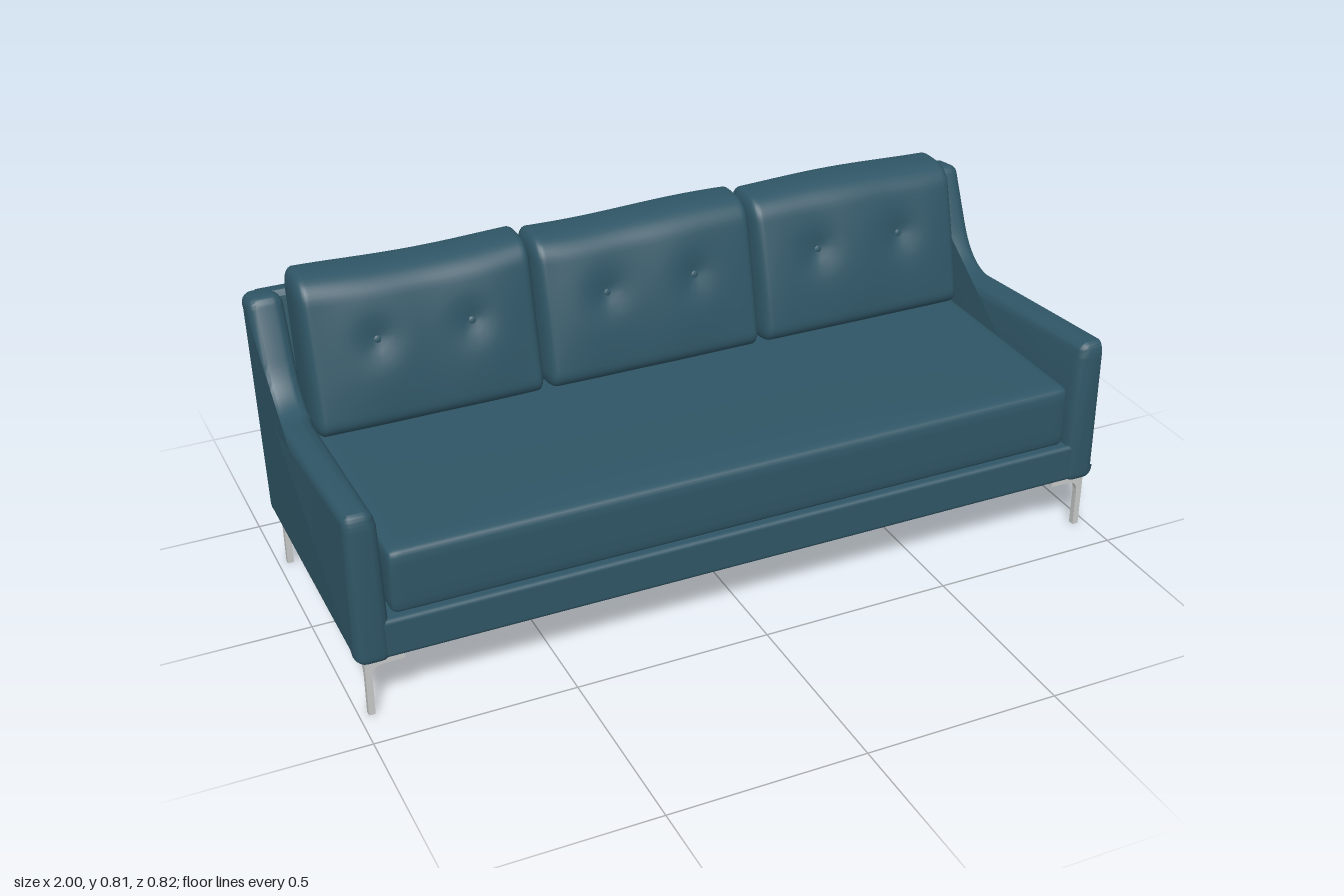
import * as THREE from 'three';
import { toCreasedNormals, mergeVertices } from 'three/addons/utils/BufferGeometryUtils.js';
import { RoundedBoxGeometry } from 'three/addons/geometries/RoundedBoxGeometry.js';

const fabric = new THREE.MeshStandardMaterial({ color: 0x2f5565 });
fabric.name = 'teal fabric';
const metal = new THREE.MeshStandardMaterial({ color: 0xc6c8c8 });
metal.name = 'brushed metal';

function addMesh(parent, name, geometry, material = fabric) {
  const mesh = new THREE.Mesh(geometry, material);
  mesh.name = name;
  parent.add(mesh);
  return mesh;
}

// Extrudes a side profile (drawn as -z, y) across x, centred on x = 0
function sideExtrude(shape, width, bevel) {
  const g = new THREE.ExtrudeGeometry(shape, {
    depth: width - 2 * bevel, curveSegments: 12, bevelEnabled: bevel > 0,
    bevelSize: bevel, bevelThickness: bevel, bevelOffset: -bevel, bevelSegments: 5,
  });
  g.translate(0, 0, -(width - 2 * bevel) / 2);
  return g.rotateY(Math.PI / 2);
}

// Box with elliptical edges, then reshaped by a rule applied to every vertex
function softBox(size, radius, segments, rule) {
  const g = new THREE.BoxGeometry(2, 2, 2, ...segments);
  g.deleteAttribute('uv');
  g.deleteAttribute('normal');
  const pos = g.attributes.position;
  const p = new THREE.Vector3(), inner = new THREE.Vector3();
  const half = size.clone().multiplyScalar(0.5);
  const limit = half.clone().sub(radius);
  for (let i = 0; i < pos.count; i++) {
    p.fromBufferAttribute(pos, i);
    // Crowd the grid lines toward the edges
    p.set(...p.toArray().map((t) => Math.sin(t * Math.PI / 2))).multiply(half);
    inner.copy(p).clamp(limit.clone().negate(), limit);
    p.sub(inner).divide(radius);
    if (p.lengthSq() > 0) p.normalize();
    p.multiply(radius).add(inner);
    rule(p);
    pos.setXYZ(i, p.x, p.y, p.z);
  }
  const merged = mergeVertices(g, 1e-5);
  merged.computeVertexNormals();
  return merged;
}

// Arm with a wing sweeping up to the back
function armGeometry(side) {
  const s = new THREE.Shape();
  s.moveTo(-0.405, 0.15);
  s.quadraticCurveTo(-0.411, 0.152, -0.411, 0.17);
  s.lineTo(-0.409, 0.505);
  s.quadraticCurveTo(-0.405, 0.547, -0.385, 0.545);
  s.lineTo(0.12, 0.501);
  s.bezierCurveTo(0.2, 0.495, 0.24, 0.55, 0.265, 0.605);
  s.lineTo(0.318, 0.72);
  s.quadraticCurveTo(0.328, 0.744, 0.345, 0.744);
  s.lineTo(0.39, 0.738);
  s.quadraticCurveTo(0.413, 0.735, 0.411, 0.715);
  s.lineTo(0.333, 0.165);
  s.quadraticCurveTo(0.331, 0.15, 0.318, 0.15);
  s.closePath();
  const g = sideExtrude(s, 0.09, 0.028);
  const pos = g.attributes.position;
  for (let i = 0; i < pos.count; i++) {
    let x = pos.getX(i) * side;
    const y = pos.getY(i);
    // Slope the inner top edge of the arm rest outward
    if (x < 0.02 && pos.getZ(i) > -0.15 && y > 0.46) x += 0.015 * Math.min(1, (y - 0.46) / 0.06);
    pos.setX(i, side * (x + 0.955));
  }
  return toCreasedNormals(g, 0.6);
}

// Leaning back panel
function backGeometry() {
  const s = new THREE.Shape();
  s.moveTo(0.28, 0.152);
  s.lineTo(0.33, 0.152);
  s.lineTo(0.41, 0.715);
  s.quadraticCurveTo(0.413, 0.735, 0.4, 0.737);
  s.lineTo(0.375, 0.737);
  s.lineTo(0.362, 0.725);
  s.lineTo(0.28, 0.3);
  s.closePath();
  return toCreasedNormals(sideExtrude(s, 1.93, 0.006), 0.6);
}

// Back cushion: leaning, thicker below, crowned, with two tufted buttons
const TUFT_X = 0.122, TUFT_Y = 0.04;
function addBackCushion(parent, index) {
  const group = new THREE.Group();
  group.name = 'backCushion';
  const size = new THREE.Vector3(0.602, 0.385, 0.17);
  const reshape = (p) => {
    const u = p.x / 0.301, v = p.y / 0.1925, front = p.z > 0 ? 1 : 0;
    let z = p.z * (1 - 0.12 * v);
    z += front * 0.022 * (1 - u ** 4) * (1 - v * v);
    for (const sx of [-1, 1]) {
      const d2 = (p.x - sx * TUFT_X) ** 2 + (p.y - TUFT_Y) ** 2;
      z -= front * (0.014 * Math.exp(-d2 / 0.0025) + 0.006 * Math.exp(-d2 / 0.0002));
    }
    // Soft creases running down the front
    z += front * 0.003 * Math.sin(p.x * 24 + index * 2) * (1 - v * v);
    p.z = z - 0.26 - p.y * 0.2;
    const top = Math.max(0, v);
    p.y += top * (0.004 - index * 0.002 + 0.005 * Math.sin(p.x * 9 + index * 1.8)) + 0.612;
    return p;
  };
  addMesh(group, 'cushionBody',
    softBox(size, new THREE.Vector3(0.025, 0.05, 0.06), [48, 36, 14], reshape));
  for (const sx of [-1, 1]) {
    const button = addMesh(group, 'button', new THREE.SphereGeometry(0.012, 16, 10));
    button.scale.z = 0.5;
    button.rotation.x = -0.3;
    button.position.copy(reshape(new THREE.Vector3(sx * TUFT_X, TUFT_Y, 0.085)));
  }
  group.position.x = index * 0.605;
  parent.add(group);
}

// Leg profile: slim post flaring into a flat bracket; dir sets the bracket's direction
function legShape(dir) {
  const s = new THREE.Shape();
  s.moveTo(0, 0);
  s.lineTo(0.016 * dir, 0);
  s.lineTo(0.016 * dir, 0.105);
  s.quadraticCurveTo(0.018 * dir, 0.134, 0.045 * dir, 0.135);
  s.lineTo(0.096 * dir, 0.135);
  s.lineTo(0.096 * dir, 0.152);
  s.lineTo(0, 0.152);
  s.closePath();
  return s;
}

function addLeg(parent, name, sx, z, sz) {
  const leg = new THREE.Group();
  leg.name = name;
  const depth = 0.016;
  const across = new THREE.ExtrudeGeometry(legShape(-sx), { depth, bevelEnabled: false, curveSegments: 8 });
  across.translate(sx * 0.978, 0, sz > 0 ? z - depth : z);
  addMesh(leg, 'crossBracket', toCreasedNormals(across, 0.6), metal);
  const along = sideExtrude(legShape(sz), depth, 0);
  along.translate(sx * (0.978 - depth / 2), 0, z);
  addMesh(leg, 'sideBracket', toCreasedNormals(along, 0.6), metal);
  parent.add(leg);
}

export function createModel() {
  const sofa = new THREE.Group();
  sofa.name = 'sofa';

  // Frame
  const base = addMesh(sofa, 'baseFrame', new RoundedBoxGeometry(1.92, 0.103, 0.725, 4, 0.012));
  base.position.set(0, 0.2025, 0.0445);
  addMesh(sofa, 'backPanel', backGeometry());
  addMesh(sofa, 'leftArm', armGeometry(1));
  addMesh(sofa, 'rightArm', armGeometry(-1));

  // Seat cushion with a slight crown
  const seat = softBox(new THREE.Vector3(1.812, 0.172, 0.7), new THREE.Vector3(0.02, 0.025, 0.025),
    [32, 10, 24], (p) => {
      if (p.y > 0) p.y += 0.006 * (1 - (p.x / 0.906) ** 4) * (1 - (p.z / 0.35) ** 2);
      p.y += 0.342;
      p.z += 0.051;
    });
  addMesh(sofa, 'seatCushion', seat);

  for (const index of [-1, 0, 1]) addBackCushion(sofa, index);

  // Legs
  for (const [side, sx] of [['Left', 1], ['Right', -1]]) {
    addLeg(sofa, 'front' + side + 'Leg', sx, 0.396, 1);
    addLeg(sofa, 'back' + side + 'Leg', sx, -0.314, -1);
  }
  return sofa;
}
